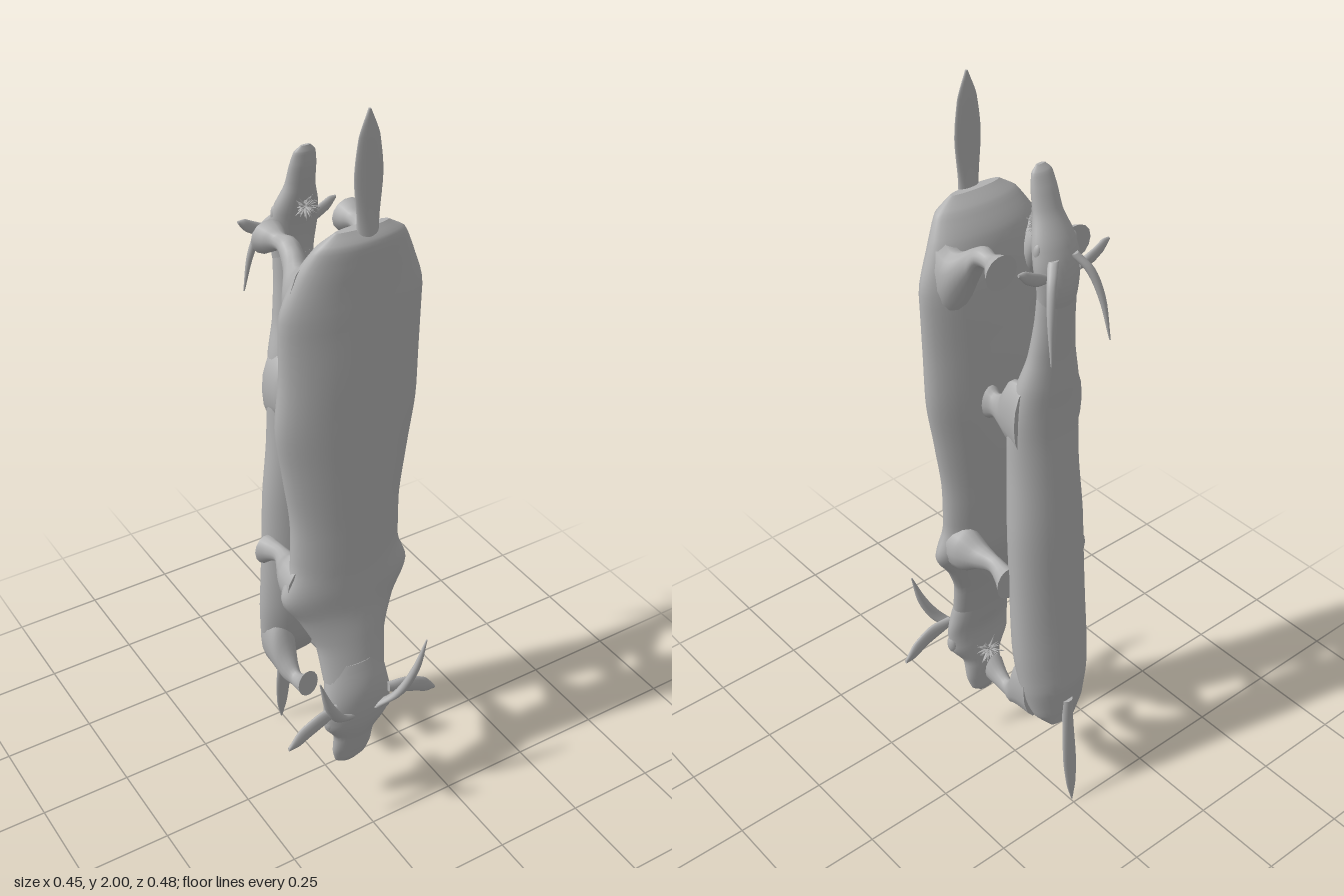
import * as THREE from 'three';

const material = new THREE.MeshStandardMaterial({ color: 0xb2b2b2 });
material.name = 'plain grey';

const AXIS = {
  x: new THREE.Vector3(1, 0, 0),
  y: new THREE.Vector3(0, 1, 0),
  z: new THREE.Vector3(0, 0, 1),
};

// Smooth skin over elliptical sections [x, y, z, radiusU, radiusV]
function loft(name, rows, u, v, steps = 5, sides = 20) {
  const centres = new THREE.CatmullRomCurve3(rows.map(r => new THREE.Vector3(r[0], r[1], r[2])));
  const radii = new THREE.CatmullRomCurve3(rows.map(r => new THREE.Vector3(r[3], r[4], 0)));
  const U = AXIS[u], V = AXIS[v];
  const n = (rows.length - 1) * steps;
  const pos = [], index = [];
  const first = centres.getPoint(0), last = centres.getPoint(1);
  const flip = new THREE.Vector3().crossVectors(U, V).dot(last.clone().sub(first)) < 0;
  for (let i = 0; i <= n; i++) {
    const c = centres.getPoint(i / n), r = radii.getPoint(i / n);
    for (let j = 0; j < sides; j++) {
      const a = j / sides * Math.PI * 2;
      const p = c.clone()
        .addScaledVector(U, Math.max(r.x, 0.001) * Math.cos(a))
        .addScaledVector(V, Math.max(r.y, 0.001) * Math.sin(a));
      pos.push(p.x, p.y, p.z);
    }
  }
  const tri = (a, b, c) => flip ? index.push(a, c, b) : index.push(a, b, c);
  for (let i = 0; i < n; i++) for (let j = 0; j < sides; j++) {
    const k = (j + 1) % sides;
    const a = i * sides + j, b = i * sides + k, c = a + sides, d = b + sides;
    tri(a, b, d);
    tri(a, d, c);
  }
  // End caps, with their own vertices so the rim stays sharp
  for (const [end, c] of [[0, first], [n, last]]) {
    const base = pos.length / 3;
    for (let j = 0; j < sides; j++) {
      const k = (end * sides + j) * 3;
      pos.push(pos[k], pos[k + 1], pos[k + 2]);
    }
    pos.push(c.x, c.y, c.z);
    for (let j = 0; j < sides; j++) {
      const p = base + j, q = base + (j + 1) % sides;
      if (end) tri(p, q, base + sides); else tri(q, p, base + sides);
    }
  }
  const g = new THREE.BufferGeometry();
  g.setAttribute('position', new THREE.Float32BufferAttribute(pos, 3));
  g.setIndex(index);
  g.computeVertexNormals();
  const mesh = new THREE.Mesh(g, material);
  mesh.name = name;
  return mesh;
}

// The same loft on the left and right of a centre line
function pair(group, name, rows, u, v, cx = 0) {
  for (const s of [1, -1]) {
    const part = rows.map(([x, ...rest]) => [cx + s * x, ...rest]);
    group.add(loft((s > 0 ? 'left ' : 'right ') + name, part, u, v, 5, 14));
  }
}

// Frizzy beard: a ball of little spikes
function beard(x, y, z, r) {
  const g = new THREE.Group();
  g.name = 'beard';
  let seed = 7;
  const rnd = () => (seed = (seed * 16807) % 2147483647) / 2147483647;
  const spike = new THREE.ConeGeometry(0.005, r, 5);
  spike.translate(0, r / 2, 0);
  for (let i = 0; i < 70; i++) {
    const dir = new THREE.Vector3(rnd() - 0.5, rnd() - 0.5, rnd() - 0.5).normalize();
    const m = new THREE.Mesh(spike, material);
    m.quaternion.setFromUnitVectors(AXIS.y, dir);
    m.position.set(x, y, z);
    m.scale.setScalar(0.75 + 0.35 * rnd());
    m.name = 'beard tuft';
    g.add(m);
  }
  return g;
}

function brows(group, x, y, z, r) {
  for (const s of [1, -1]) {
    const m = new THREE.Mesh(new THREE.SphereGeometry(r, 14, 10), material);
    m.scale.set(0.7, 1.4, 0.7);
    m.position.set(s * x, y, z);
    m.name = 'brow';
    group.add(m);
  }
}

// Front goat: head down, tail up
function frontGoat() {
  const g = new THREE.Group();
  g.name = 'frontGoat';
  g.add(loft('body', [
    [0.025, 1.73, 0.11, 0.07, 0.012],
    [0.025, 1.7, 0.105, 0.115, 0.035],
    [0.022, 1.64, 0.09, 0.15, 0.052],
    [0.02, 1.53, 0.08, 0.188, 0.062],
    [0.018, 1.38, 0.078, 0.187, 0.066],
    [0.012, 1.25, 0.076, 0.192, 0.067],
    [0.01, 1.1, 0.077, 0.172, 0.066],
    [0.008, 0.95, 0.08, 0.153, 0.062],
    [0.004, 0.83, 0.085, 0.155, 0.058],
    [0.001, 0.75, 0.09, 0.182, 0.055],
    [0, 0.67, 0.102, 0.138, 0.048],
    [0, 0.58, 0.123, 0.1, 0.044],
    [-0.003, 0.48, 0.147, 0.09, 0.041],
  ], 'x', 'z', 5, 32));
  g.add(loft('head', [
    [-0.003, 0.53, 0.137, 0.08, 0.042],
    [-0.003, 0.45, 0.155, 0.092, 0.043],
    [-0.003, 0.39, 0.163, 0.1, 0.038],
    [-0.003, 0.33, 0.16, 0.096, 0.036],
    [-0.004, 0.27, 0.15, 0.06, 0.03],
    [-0.005, 0.21, 0.143, 0.058, 0.021],
    [-0.006, 0.17, 0.138, 0.046, 0.014],
    [-0.006, 0.15, 0.135, 0.02, 0.005],
  ], 'x', 'z', 5, 28));
  brows(g, 0.085, 0.35, 0.163, 0.022);
  g.add(beard(-0.003, 0.31, 0.115, 0.044));
  pair(g, 'horn', [
    [0.045, 0.37, 0.19, 0.02, 0.014], [0.09, 0.41, 0.218, 0.019, 0.012],
    [0.13, 0.48, 0.232, 0.014, 0.009], [0.16, 0.575, 0.237, 0.002, 0.002],
  ], 'x', 'z');
  pair(g, 'ear', [
    [0.08, 0.41, 0.185, 0.016, 0.01], [0.14, 0.395, 0.19, 0.026, 0.009],
    [0.19, 0.37, 0.19, 0.026, 0.008], [0.226, 0.345, 0.19, 0.006, 0.004],
  ], 'y', 'z');
  g.add(loft('tail', [
    [0.033, 1.66, 0.122, 0.03, 0.016], [0.033, 1.74, 0.122, 0.028, 0.01],
    [0.033, 1.85, 0.122, 0.037, 0.007], [0.033, 1.94, 0.122, 0.027, 0.005],
    [0.033, 2.0, 0.122, 0.003, 0.003],
  ], 'x', 'z'));
  pair(g, 'hindLeg', [
    [0.115, 1.55, 0.09, 0.055, 0.12], [0.115, 1.55, 0.045, 0.045, 0.085],
    [0.1, 1.61, 0, 0.03, 0.045], [0.098, 1.645, -0.03, 0.026, 0.024],
    [0.1, 1.645, -0.06, 0.02, 0.02], [0.104, 1.642, -0.085, 0.033, 0.032],
    [0.107, 1.64, -0.105, 0.044, 0.042],
  ], 'x', 'y', 0.02);
  pair(g, 'frontLeg', [
    [0.12, 0.77, 0.1, 0.05, 0.07], [0.12, 0.775, 0.045, 0.045, 0.065],
    [0.112, 0.775, 0, 0.032, 0.036], [0.105, 0.775, -0.045, 0.02, 0.025],
    [0.108, 0.765, -0.08, 0.025, 0.032], [0.112, 0.755, -0.105, 0.034, 0.045],
  ], 'x', 'y');
  return g;
}

// Back goat: head up, tail down
function backGoat() {
  const g = new THREE.Group();
  g.name = 'backGoat';
  g.add(loft('body', [
    [0, 0.285, -0.195, 0.04, 0.01],
    [0, 0.33, -0.175, 0.08, 0.034],
    [0, 0.42, -0.155, 0.105, 0.058],
    [0, 0.55, -0.137, 0.114, 0.065],
    [0, 0.72, -0.125, 0.112, 0.065],
    [0, 0.9, -0.115, 0.11, 0.066],
    [0, 1.08, -0.103, 0.1, 0.065],
    [0, 1.22, -0.102, 0.098, 0.06],
    [0, 1.32, -0.115, 0.085, 0.05],
    [0, 1.4, -0.128, 0.065, 0.038],
    [0, 1.5, -0.138, 0.054, 0.033],
    [0, 1.57, -0.143, 0.052, 0.032],
  ], 'x', 'z', 5, 32));
  g.add(loft('head', [
    [0, 1.52, -0.14, 0.048, 0.03],
    [0, 1.58, -0.145, 0.055, 0.034],
    [0, 1.64, -0.14, 0.062, 0.034],
    [0, 1.69, -0.128, 0.057, 0.032],
    [0, 1.75, -0.108, 0.038, 0.024],
    [0, 1.8, -0.095, 0.034, 0.019],
    [0, 1.835, -0.087, 0.027, 0.012],
    [0, 1.85, -0.083, 0.012, 0.004],
  ], 'x', 'z', 5, 28));
  brows(g, 0.05, 1.675, -0.135, 0.015);
  g.add(beard(0, 1.7, -0.085, 0.034));
  pair(g, 'horn', [
    [0.028, 1.66, -0.16, 0.013, 0.012], [0.055, 1.62, -0.187, 0.012, 0.01],
    [0.075, 1.55, -0.208, 0.009, 0.008], [0.087, 1.445, -0.226, 0.002, 0.002],
  ], 'x', 'z');
  pair(g, 'ear', [
    [0.045, 1.62, -0.16, 0.01, 0.008], [0.08, 1.632, -0.165, 0.017, 0.006],
    [0.11, 1.648, -0.165, 0.016, 0.006], [0.13, 1.66, -0.165, 0.004, 0.003],
  ], 'y', 'z');
  g.add(loft('tail', [
    [-0.005, 0.36, -0.205, 0.016, 0.014], [-0.005, 0.27, -0.212, 0.018, 0.009],
    [-0.005, 0.15, -0.222, 0.022, 0.007], [-0.005, 0.06, -0.231, 0.016, 0.005],
    [-0.005, 0, -0.236, 0.002, 0.002],
  ], 'x', 'z'));
  pair(g, 'frontLeg', [
    [0.065, 1.23, -0.12, 0.04, 0.1], [0.068, 1.24, -0.07, 0.034, 0.085],
    [0.068, 1.225, -0.04, 0.024, 0.05], [0.065, 1.22, -0.01, 0.019, 0.034],
    [0.065, 1.22, 0.012, 0.028, 0.046],
  ], 'x', 'y');
  pair(g, 'hindLeg', [
    [0.065, 0.42, -0.16, 0.042, 0.11], [0.068, 0.4, -0.11, 0.038, 0.09],
    [0.067, 0.345, -0.075, 0.027, 0.045], [0.063, 0.325, -0.045, 0.018, 0.025],
    [0.062, 0.335, -0.015, 0.022, 0.03], [0.062, 0.355, 0.014, 0.03, 0.043],
  ], 'x', 'y');
  return g;
}

export function createModel() {
  const model = new THREE.Group();
  model.name = 'goatPair';
  model.add(frontGoat(), backGoat());
  return model;
}
